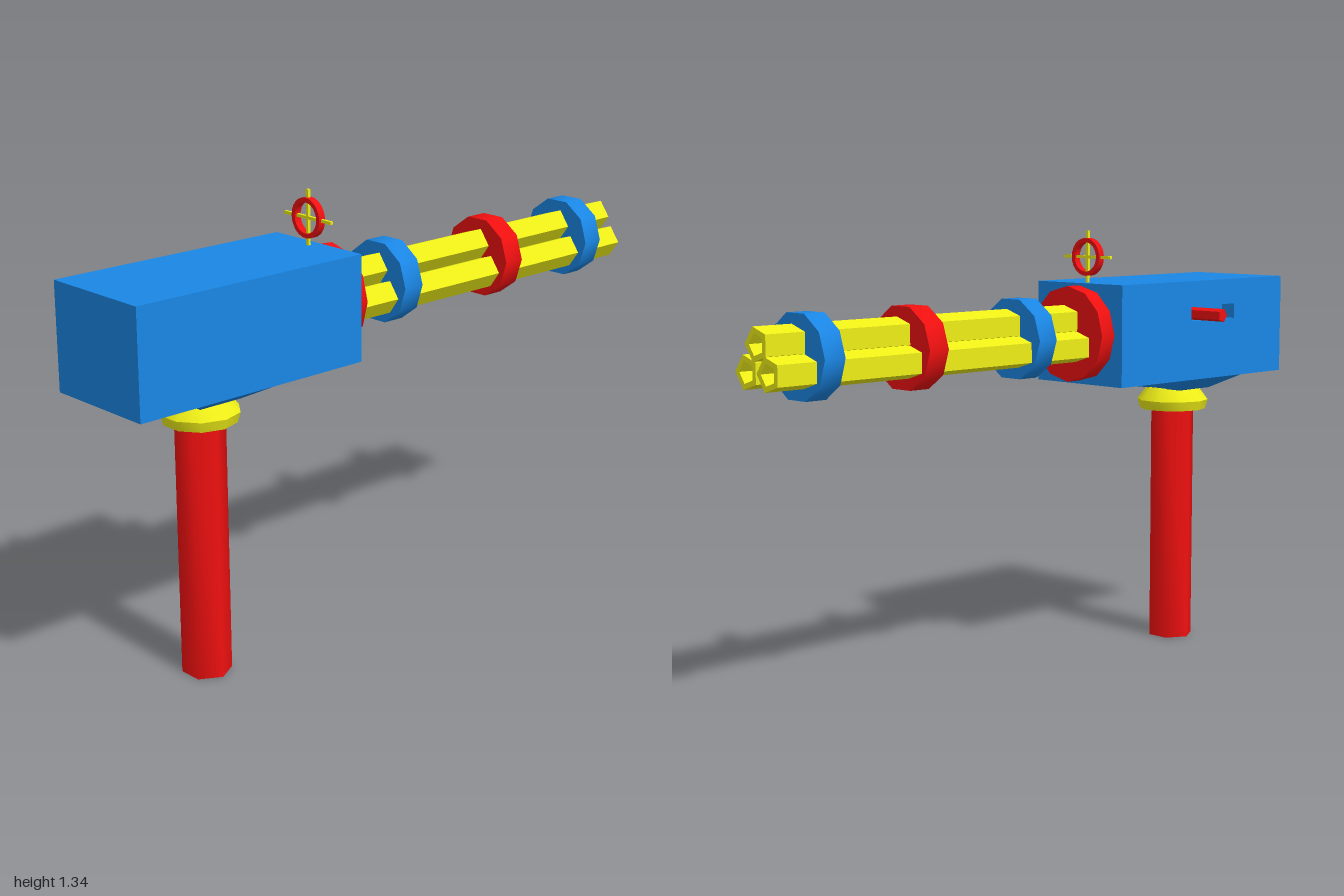
import * as THREE from 'three';
import { toCreasedNormals } from 'three/addons/utils/BufferGeometryUtils.js';

const BLUE = 0x1a86e4, RED = 0xf01010, YELLOW = 0xeeee18;
const CX = 0.052;      // centre line of the model
const AXIS_Y = 1.025;  // centre height of the barrel cluster
const POLE_Z = 0.668;

// Regular polygon outline with its first corner on +x
function polygon(radius, sides, Type = THREE.Shape) {
  const points = [];
  for (let i = 0; i < sides; i++) {
    const a = (i / sides) * Math.PI * 2;
    points.push(new THREE.Vector2(Math.cos(a) * radius, Math.sin(a) * radius));
  }
  return new Type(points);
}

// Prism or tube along +z, starting at z = 0
function prism(radius, sides, depth, holeRadius = 0) {
  const shape = polygon(radius, sides);
  if (holeRadius) shape.holes.push(polygon(holeRadius, sides, THREE.Path));
  const geometry = new THREE.ExtrudeGeometry(shape, { depth, bevelEnabled: false });
  return toCreasedNormals(geometry, 1.1);
}

export function createModel() {
  const model = new THREE.Group();
  model.name = 'mountedRotaryBarrels';

  function add(parent, name, geometry, color, x = 0, y = 0, z = 0, flatShading = false) {
    const mesh = new THREE.Mesh(geometry, new THREE.MeshStandardMaterial({ color, flatShading }));
    mesh.name = name;
    mesh.position.set(x, y, z);
    parent.add(mesh);
    return mesh;
  }

  // Six-sided pole
  add(model, 'pole', prism(0.072, 6, 0.78).rotateX(-Math.PI / 2), RED, CX, 0, POLE_Z);

  // Swivel collar
  const collarProfile = [[0, 0.755], [0.106, 0.755], [0.115, 0.785], [0.084, 0.826], [0, 0.826]]
    .map(([r, y]) => new THREE.Vector2(r, y));
  const collar = toCreasedNormals(new THREE.LatheGeometry(collarProfile, 10).rotateY(Math.PI / 2), 0.66);
  add(model, 'collar', collar, YELLOW, CX, 0, POLE_Z);

  // Tapered foot under the housing
  const foot = new THREE.CylinderGeometry(Math.SQRT2, Math.SQRT2 * 0.52, 0.045, 4)
    .rotateY(Math.PI / 4).scale(0.178, 1, 0.137);
  add(model, 'housingFoot', foot, BLUE, CX, 0.8465, POLE_Z, true);

  // Housing: a solid core and a side plate cut by the handle slot
  const housing = new THREE.Group();
  housing.name = 'housing';
  model.add(housing);
  add(housing, 'housingCore', new THREE.BoxGeometry(0.306, 0.311, 0.772), BLUE, 0.077, 1.0235, 0.614);
  const rect = (Type, z0, z1, y0, y1) => new Type(
    [[z0, y0], [z1, y0], [z1, y1], [z0, y1]].map(([z, y]) => new THREE.Vector2(z, y)));
  const plate = rect(THREE.Shape, 0.228, 1, 0.868, 1.179);
  plate.holes.push(rect(THREE.Path, 0.55, 0.76, 1.053, 1.1));
  const plateGeometry = new THREE.ExtrudeGeometry(plate, { depth: 0.05, bevelEnabled: false })
    .rotateY(-Math.PI / 2);
  add(housing, 'slottedSidePlate', plateGeometry, BLUE, -0.076);

  // Side handle
  add(model, 'handle', prism(0.021, 5, 0.16).rotateY(-Math.PI / 2), RED, -0.075, 1.076, 0.571);

  // Barrel hub
  add(model, 'barrelHub', prism(0.147, 12, 0.056), RED, CX, AXIS_Y, 0.174);

  // Three five-sided open barrels
  const barrels = [[0.05, 1.066], [0.001, 0.989], [0.095, 0.989]];
  barrels.forEach(([x, y], i) =>
    add(model, `barrel${i + 1}`, prism(0.05, 5, 1.18, 0.032), YELLOW, x, y, -1));

  // Clamp bands around the barrels
  [[-0.07, BLUE], [-0.5, RED], [-0.87, BLUE]].forEach(([z, color], i) =>
    add(model, `barrelBand${i + 1}`, prism(0.124, 10, 0.07), color, 0.05, AXIS_Y, z));

  // Ring sight with crosshair
  const sight = new THREE.Group();
  sight.name = 'sight';
  sight.position.set(CX, 1.258, 0.264);
  model.add(sight);
  add(sight, 'sightRing', prism(0.058, 24, 0.022, 0.045), RED, 0, 0, -0.011);
  add(sight, 'crosshairHorizontal', new THREE.BoxGeometry(0.194, 0.009, 0.009), YELLOW);
  add(sight, 'crosshairVertical', new THREE.BoxGeometry(0.009, 0.162, 0.009), YELLOW);

  return model;
}
